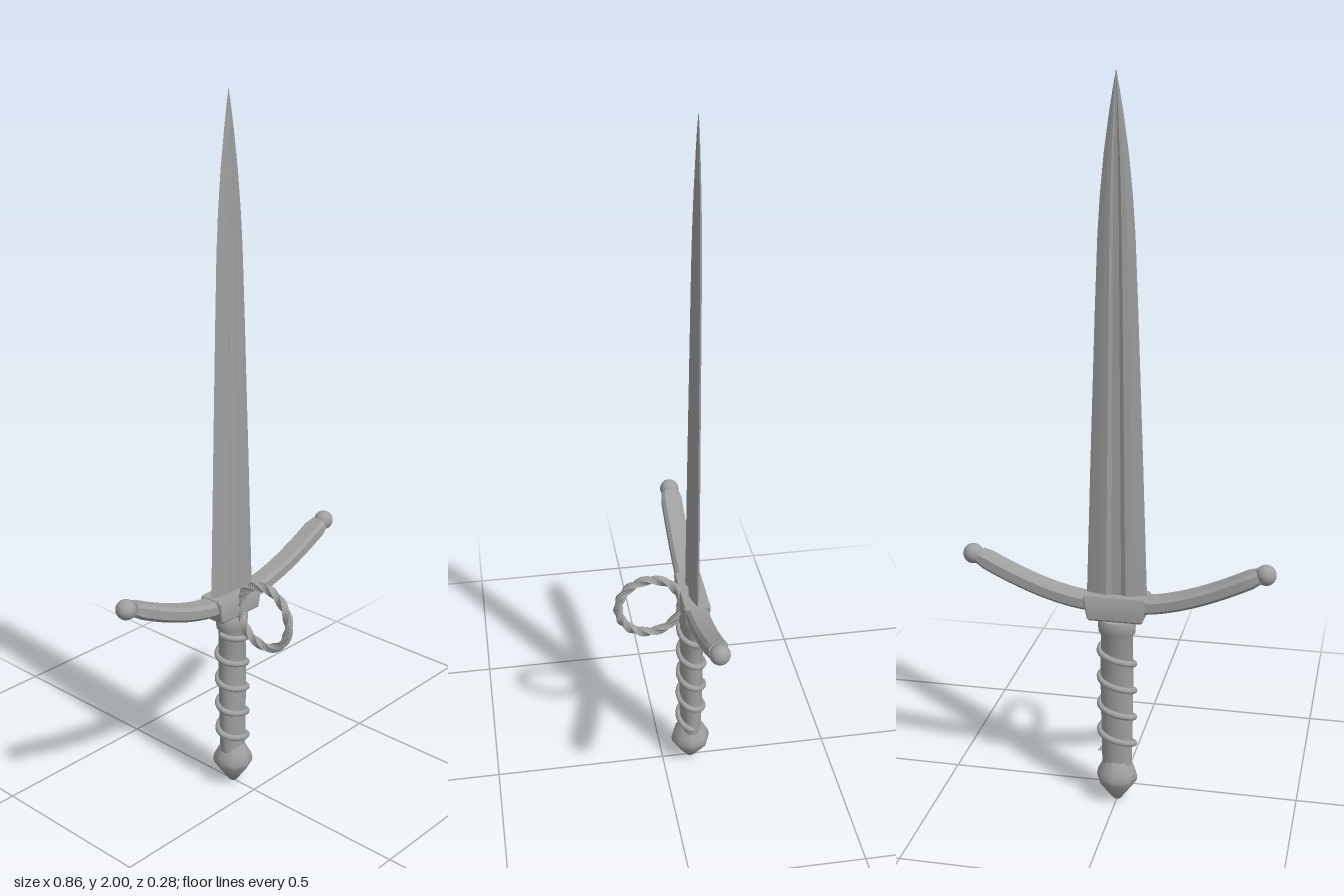
import * as THREE from 'three';
import { toCreasedNormals } from 'three/addons/utils/BufferGeometryUtils.js';

const steel = new THREE.MeshStandardMaterial({ color: 0xa0a0a0 });
steel.name = 'steel grey';

// Skin a list of equal-length cross-sections, with optional end caps
function loft(rings, capped = true, crease = 0.5) {
  const n = rings[0].length, pos = [], idx = [];
  rings.forEach(r => r.forEach(p => pos.push(...p)));
  for (let i = 0; i < rings.length - 1; i++) {
    for (let j = 0; j < n; j++) {
      const a = i * n + j, b = i * n + (j + 1) % n;
      idx.push(a, b, b + n, a, b + n, a + n);
    }
  }
  if (capped) {
    const last = (rings.length - 1) * n;
    for (let j = 1; j < n - 1; j++) {
      idx.push(0, j + 1, j, last, last + j, last + j + 1);
    }
  }
  const g = new THREE.BufferGeometry();
  g.setAttribute('position', new THREE.Float32BufferAttribute(pos, 3));
  g.setIndex(idx);
  return toCreasedNormals(g, crease);
}

function add(parent, name, geometry) {
  const m = new THREE.Mesh(geometry, steel);
  m.name = name;
  parent.add(m);
  return m;
}

const lathe = (pts, sides, crease) => toCreasedNormals(
  new THREE.LatheGeometry(pts.map(p => new THREE.Vector2(...p)), sides), crease);

// Chamfered rectangle outline, counter-clockwise
function chamfered(w, h, c) {
  return [[w, c - h], [w, h - c], [w - c, h], [c - w, h],
    [-w, h - c], [-w, c - h], [c - w, -h], [w - c, -h]];
}

export function createModel() {
  const dagger = new THREE.Group();
  dagger.name = 'dagger';
  const body = new THREE.Group();
  body.name = 'body';
  body.position.z = -0.085;
  dagger.add(body);

  // Blade: bevelled edges with a shallow fuller on both faces
  const section = [[1, 0], [0.6, 0.75], [0.32, 1], [0.16, 0.6], [-0.16, 0.6], [-0.32, 1], [-0.6, 0.75],
    [-1, 0], [-0.6, -0.75], [-0.32, -1], [-0.16, -0.6], [0.16, -0.6], [0.32, -1], [0.6, -0.75]];
  const stations = [[0.6, 0.084, 0.015], [1.0, 0.071, 0.014], [1.4, 0.057, 0.012], [1.6, 0.049, 0.011],
    [1.7, 0.042, 0.010], [1.8, 0.032, 0.008], [1.9, 0.018, 0.005], [1.96, 0.008, 0.003], [2, 0.0005, 0.0005]];
  add(body, 'blade', loft(stations.map(([y, w, t]) => section.map(([u, v]) => [u * w, y, -v * t])), true, 0.2));

  // Guard block, slightly wider at the top
  const block = [[0.555, 0.074, 0.033], [0.56, 0.077, 0.036], [0.62, 0.088, 0.038], [0.626, 0.085, 0.035]];
  add(body, 'guardBlock', loft(block.map(([y, w, d]) =>
    chamfered(w, d, 0.004).map(([u, v]) => [u, y, -v]))));

  // Curved guard arms with ball ends
  const curve = new THREE.CatmullRomCurve3([[0.05, 0.597], [0.12, 0.606], [0.2, 0.627], [0.29, 0.662], [0.385, 0.708]]
    .map(([x, y]) => new THREE.Vector3(x, y, 0)));
  const armRings = [];
  for (let i = 0; i <= 16; i++) {
    const p = curve.getPoint(i / 16), t = curve.getTangent(i / 16);
    const shrink = i === 16 ? 0.85 : 1;
    armRings.push(chamfered(0.021 * shrink, 0.03 * shrink, 0.009)
      .map(([u, v]) => [p.x - t.y * u, p.y + t.x * u, v]));
  }
  for (const side of [1, -1]) {
    const arm = new THREE.Group();
    arm.name = side > 0 ? 'leftGuardArm' : 'rightGuardArm';
    if (side < 0) arm.rotation.y = Math.PI;
    add(arm, 'armBar', loft(armRings));
    add(arm, 'armBall', new THREE.SphereGeometry(0.028, 20, 14)).position.set(0.403, 0.712, 0);
    body.add(arm);
  }

  // Oval grip with a flared collar at the top
  const grip = add(body, 'grip', lathe([[0, 0.11], [0.042, 0.11], [0.044, 0.2], [0.046, 0.35], [0.045, 0.505],
    [0.051, 0.515], [0.053, 0.54], [0.049, 0.55], [0.03, 0.552], [0.03, 0.56]], 24, 0.6));
  grip.scale.z = 0.74;

  // Spiral wire around the grip
  const wirePts = [], turns = 4.5;
  for (let i = 0; i <= turns * 16; i++) {
    const a = i / 16 * Math.PI * 2;
    wirePts.push(new THREE.Vector3(-0.048 * Math.cos(a), 0.502 - 0.081 * i / 16, 0.036 * Math.sin(a)));
  }
  add(body, 'gripWire', new THREE.TubeGeometry(new THREE.CatmullRomCurve3(wirePts), 160, 0.009, 8));

  // Eight-sided pommel tapering to a blunt point
  add(body, 'pommel', lathe([[0, 0], [0.012, 0.003], [0.028, 0.024], [0.056, 0.062], [0.058, 0.075],
    [0.054, 0.092], [0.043, 0.112], [0.034, 0.127], [0, 0.13]], 8, 0.9));

  // Twisted finger ring in front of the guard
  const ringRings = [], steps = 72, twists = 3;
  for (let i = 0; i <= steps; i++) {
    const f = i / steps * Math.PI * 2, ring = [];
    for (let k = 0; k < 4; k++) {
      const a = k * Math.PI / 2 + f * twists;
      const r = 0.091 + 0.014 * Math.cos(a);
      ring.push([0.014 * Math.sin(a), 0.58 + r * Math.sin(f), 0.037 + r * Math.cos(f)]);
    }
    ringRings.push(ring);
  }
  add(dagger, 'fingerRing', loft(ringRings, false, 0.6));

  return dagger;
}
